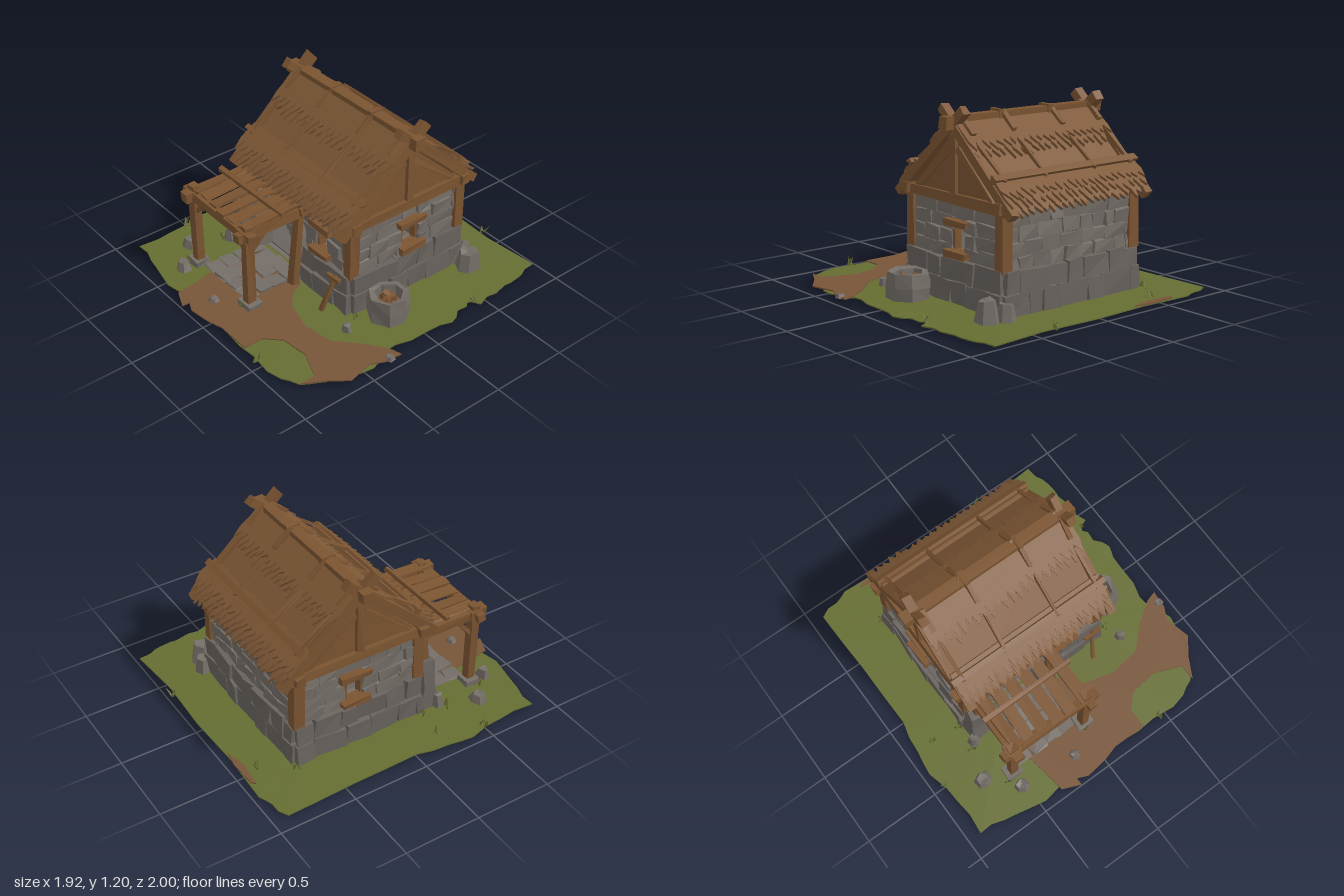
import * as THREE from 'three';
import { mergeGeometries } from 'three/addons/utils/BufferGeometryUtils.js';

const V = (x, y, z) => new THREE.Vector3(x, y, z);
const mat = (name, color) => {
  const m = new THREE.MeshStandardMaterial({ color, flatShading: true });
  m.name = name;
  return m;
};

export function createModel() {
  let seed = 11;
  const rnd = (a = 0, b = 1) => {
    seed = (seed * 16807) % 2147483647;
    return a + (b - a) * seed / 2147483647;
  };
  const stone = mat('stone', 0x746d67), darkStone = mat('dark stone', 0x69635e);
  const wood = mat('wood', 0x7b5431), thatch = mat('thatch', 0x7e5836);
  const grass = mat('grass', 0x656d32), soil = mat('soil', 0x775539);
  const model = new THREE.Group();

  const add = (name, geo, m, parent = model, x = 0, y = 0, z = 0) => {
    const mesh = new THREE.Mesh(geo, m);
    mesh.name = name;
    mesh.position.set(x, y, z);
    parent.add(mesh);
    return mesh;
  };
  const group = (name, parent = model) => {
    const g = new THREE.Group();
    g.name = name;
    parent.add(g);
    return g;
  };
  // moves coincident corners together by a random amount
  const rough = (geo, amount) => {
    const p = geo.attributes.position, moved = new Map();
    for (let i = 0; i < p.count; i++) {
      const v = V().fromBufferAttribute(p, i);
      const key = v.toArray().map(n => Math.round(n * 1e4)).join();
      if (!moved.has(key)) moved.set(key, V(rnd(-1, 1), rnd(-1, 1), rnd(-1, 1)).multiplyScalar(amount));
      v.add(moved.get(key));
      p.setXYZ(i, v.x, v.y, v.z);
    }
    return geo;
  };
  const beam = (name, a, b, w, h = w, parent = model, m = wood) => {
    const mesh = new THREE.Mesh(rough(new THREE.BoxGeometry(w, h, a.distanceTo(b)), 0.006), m);
    mesh.name = name;
    mesh.position.copy(a).add(b).multiplyScalar(0.5);
    mesh.lookAt(b);
    parent.add(mesh);
    return mesh;
  };
  const shapeOf = pts => new THREE.Shape(pts.map(p => new THREE.Vector2(p[0], p[1])));
  const extrude = (shape, depth) => new THREE.ExtrudeGeometry(shape, { depth, bevelEnabled: false, curveSegments: 4 });

  // ---- ground: ragged low mound with a flat underside
  const rim = [];
  const corners = [[-0.9, -0.9], [-0.7, -0.96], [0.82, -0.96], [0.87, -0.75], [0.89, -0.44], [0.83, -0.4], [0.9, -0.2],
    [0.86, 0.2], [0.92, 0.45], [0.86, 0.7], [0.78, 0.87], [0.55, 0.93], [0, 0.93], [-0.6, 0.93], [-0.9, 0.86], [-0.94, 0.4], [-0.91, 0]];
  corners.forEach((c, i) => {
    const d = corners[(i + 1) % corners.length];
    for (let k = 0; k < 4; k++) rim.push([c[0] + (d[0] - c[0]) * k / 4 + rnd(-0.015, 0.015), c[1] + (d[1] - c[1]) * k / 4 + rnd(-0.02, 0.02)]);
  });
  const disc = (rings, up) => {
    const pos = [], idx = [], n = rim.length;
    rings.forEach(([s, y]) => rim.forEach(([x, z]) => pos.push(x * s, y, z * s)));
    for (let r = 0; r < rings.length - 1; r++) for (let i = 0; i < n; i++) {
      const a = r * n + i, b = r * n + (i + 1) % n;
      idx.push(...(up ? [a, a + n, b, b, a + n, b + n] : [a, b, a + n, b, b + n, a + n]));
    }
    const g = new THREE.BufferGeometry();
    g.setAttribute('position', new THREE.Float32BufferAttribute(pos, 3));
    g.setIndex(idx);
    g.computeVertexNormals();
    return g;
  };
  add('grassGround', disc([[1, 0], [1, 0.007], [0.6, 0.016], [0, 0.018]], false), grass).material.side = THREE.DoubleSide;
  add('groundUnderside', disc([[1, 0], [0, 0]], true), soil).material.side = THREE.DoubleSide;
  const patch = (name, pts, y, m) => add(name, extrude(shapeOf(pts), 0.008).rotateX(Math.PI / 2), m, model, 0, y, 0);
  patch('dirtPath', [[-0.4, 0.3], [0.06, 0.3], [0.1, 0.39], [0.2, 0.48], [0.4, 0.53], [0.6, 0.5], [0.75, 0.36], [0.88, 0.27], [0.95, 0.25],
    [0.94, 0.37], [0.9, 0.45], [0.94, 0.62], [0.85, 0.74], [0.78, 0.87], [0.78, 0.76], [0.6, 0.69], [0.42, 0.71], [0.33, 0.8], [0.33, 0.93],
    [0.1, 0.93], [0, 0.96], [-0.15, 0.98], [-0.22, 0.95], [-0.22, 1], [-0.34, 0.95], [-0.36, 0.8], [-0.4, 0.6]], 0.019, soil);
  patch('backDirt', [[-0.6, -0.93], [-0.42, -0.91], [-0.28, -0.94], [-0.4, -0.96], [-0.58, -0.95]], 0.015, soil);

  // ---- stone walls: hollow panels faced with rows of rough blocks
  const house = group('house');
  house.position.set(-0.05, 0, -0.2);
  const blocks = (name, parent, u0, u1, y0, y1, rows, width, depth, z, holes, m) => {
    const parts = [], h = (y1 - y0) / rows;
    for (let r = 0; r < rows; r++) {
      const a = y0 + r * h;
      let spans = [[u0, u1]];
      for (const [l, t, b, top] of holes) {
        if (top <= a + 0.01 || b >= a + h - 0.01) continue;
        spans = spans.flatMap(([s, e]) => [[s, Math.min(e, l)], [Math.max(s, t), e]]).filter(([s, e]) => e - s > 0.02);
      }
      for (const [s, e] of spans) for (let u = s; u < e - 0.005;) {
        let w = Math.min(rnd(0.6, 1.4) * width, e - u);
        if (e - u - w < 0.04) w = e - u;
        const g = new THREE.BoxGeometry(w - 0.004, h - 0.004, depth);
        parts.push(rough(g, 0.011).translate(u + w / 2, a + h / 2, z + rnd(-0.006, 0.006)));
        u += w;
      }
    }
    add(name, mergeGeometries(parts), m, parent);
  };
  const frame = (parent, l, r, b, t) => {
    const c = (l + r) / 2, w = r - l;
    beam('windowLintel', V(c - w * 0.85, t + 0.02, 0.01), V(c + w * 0.85, t + 0.02, 0.01), 0.08, 0.045, parent);
    beam('windowSill', V(c - w * 0.8, b - 0.015, 0.015), V(c + w * 0.8, b - 0.015, 0.015), 0.09, 0.04, parent);
    for (const x of [l, r]) beam('windowJamb', V(x, b, -0.02), V(x, t, -0.02), 0.02, 0.05, parent);
  };
  const wall = (name, turn, half, dist, win, door) => {
    const g = group(name, house);
    g.rotation.y = turn;
    g.position.set(Math.sin(turn) * dist, 0, Math.cos(turn) * dist);
    const shape = shapeOf([[-half, 0.005], [half, 0.005], [half, 0.62], [-half, 0.62]]), holes = [];
    if (win) {
      const [l, r, b, t] = win;
      shape.holes.push(new THREE.Path([[l, b], [r, b], [r, t], [l, t]].map(p => new THREE.Vector2(...p))));
      holes.push(win);
      frame(g, l, r, b, t);
    }
    if (door) {
      const [l, r, , t] = door, c = (l + r) / 2, q = (r - l) / 2;
      shape.holes.push(new THREE.Path([[l, 0.02], [r, 0.02], [r, t - 0.15], [c + q * 0.6, t - 0.03], [c, t], [c - q * 0.6, t - 0.03], [l, t - 0.15]]
        .map(p => new THREE.Vector2(...p))));
      holes.push(door);
    }
    add('wallCore', extrude(shape, 0.06), stone, g, 0, 0, -0.06);
    blocks('upperStones', g, -half, half, 0.27, 0.61, 4, 0.14, 0.03, 0.003, holes, stone);
    blocks('plinthStones', g, -half - 0.03, half + 0.03, 0.0, 0.15, 1, 0.17, 0.09, 0.013, holes, darkStone);
    blocks('plinthStones', g, -half - 0.02, half + 0.02, 0.145, 0.28, 1, 0.17, 0.08, 0.008, holes, darkStone);
    return g;
  };
  const front = wall('frontWall', 0, 0.5, 0.42, [0.19, 0.3, 0.33, 0.48], [-0.37, 0.03, 0, 0.47]);
  wall('backWall', Math.PI, 0.5, 0.42);
  wall('rightSideWall', Math.PI / 2, 0.42, 0.5, [-0.03, 0.09, 0.32, 0.47]);
  wall('leftSideWall', -Math.PI / 2, 0.42, 0.5, [-0.09, 0.03, 0.32, 0.47]);
  add('stoneFloor', new THREE.BoxGeometry(0.94, 0.02, 0.78), darkStone, house, 0, 0.02, 0);

  // arched stone door surround
  for (const s of [-1, 1]) for (let i = 0; i < 3; i++)
    add('doorJambStone', rough(new THREE.BoxGeometry(0.07, 0.11, 0.13), 0.01), stone, front, -0.17 + s * 0.215, 0.06 + i * 0.11, 0.02);
  for (let i = 0; i < 7; i++) {
    const a = Math.PI * (i + 0.5) / 7;
    const v = add('archStone', rough(new THREE.BoxGeometry(0.09, 0.09, 0.11), 0.01), stone, front, -0.17 + Math.cos(a) * 0.205, 0.33 + Math.sin(a) * 0.15, 0.02);
    v.rotation.z = a;
  }
  const buttress = add('buttress', rough(new THREE.CylinderGeometry(0.05, 0.1, 0.36, 4, 2), 0.012), darkStone, model, -0.54, 0.18, 0.31);
  buttress.rotation.y = Math.PI / 4;

  // ---- timber frame and gables
  for (const x of [-0.5, 0.5]) {
    for (const z of [-0.42, 0.42]) beam('cornerPost', V(x, 0.27, z), V(x, 0.64, z), 0.07, 0.07, house);
    const gable = add('gableBoards', extrude(shapeOf([[-0.46, 0.6], [0.46, 0.6], [0, 1.03]]), 0.03), wood, house, x - 0.015, 0, 0);
    gable.rotation.y = Math.PI / 2;
    gable.position.x = x - 0.015;
    const o = x + Math.sign(x) * 0.015;
    beam('tieBeam', V(o, 0.635, -0.48), V(o, 0.635, 0.48), 0.06, 0.06, house);
    beam('kingPost', V(o, 0.64, 0), V(o, 1.02, 0), 0.045, 0.05, house);
    for (const s of [-1, 1]) {
      beam('rafter', V(x * 1.05, 0.6, s * 0.53), V(x * 1.05, 1.165, -s * 0.1), 0.055, 0.06, house);
      beam('gableBrace', V(o, 0.65, s * 0.36), V(o, 0.93, s * 0.03), 0.03, 0.035, house);
    }
  }
  for (const z of [-0.43, 0.43]) beam('wallPlate', V(-0.58, 0.645, z), V(0.57, 0.645, z), 0.06, 0.06, house);

  // ---- thatched roof: overlapping layers with ragged lower edges
  const layer = (parent, top, bottom, rag, z, thick, lift) => {
    const pts = [[0.54, -top], [-0.54, -top]], n = 44;
    for (let i = 0; i <= n; i++) pts.push([-0.55 + 1.1 * i / n + rnd(-0.008, 0.008), -bottom + (i % 2 ? 0 : rag) + rnd(-0.3, 0.3) * rag]);
    const m = add('thatchLayer', extrude(shapeOf(pts), thick), thatch, parent, 0, 0, z);
    m.geometry.translate(0, top, 0);
    m.position.y = -top;
    m.rotation.x = -lift;
  };
  for (const turn of [0, Math.PI]) {
    const side = group('roofSide', house);
    side.rotation.y = turn;
    const slope = group('roofSlope', side);
    slope.position.y = 1.075;
    slope.rotation.x = -49 * Math.PI / 180;
    layer(slope, 0, 0.66, 0.02, -0.025, 0.03, 0);
    layer(slope, 0.45, 0.71, 0.05, 0.0, 0.018, -0.02);
    layer(slope, 0.44, 0.68, 0.07, 0.015, 0.016, 0.05);
    layer(slope, 0.43, 0.62, 0.06, 0.03, 0.014, 0.1);
    layer(slope, 0.0, 0.3, 0.07, 0.0, 0.018, 0.03);
    layer(slope, 0.0, 0.25, 0.06, 0.015, 0.015, 0.08);
    beam('roofPole', V(-0.56, -0.47, 0.05), V(0.56, -0.47, 0.05), 0.035, 0.035, slope);
    for (const x of [-0.49, -0.18, 0.2, 0.5]) {
      beam('ridgeTie', V(x, 0.02, 0.045), V(x, -0.14, 0.05), 0.03, 0.022, slope);
      beam('thatchTie', V(x, -0.2, 0.035), V(x, -0.5, 0.06), 0.02, 0.02, slope);
    }
  }
  beam('ridgePole', V(-0.61, 1.085, 0), V(0.61, 1.085, 0), 0.07, 0.07, house);
  for (const x of [-0.18, 0.2]) add('ridgeBinding', rough(new THREE.BoxGeometry(0.035, 0.085, 0.09), 0.004), wood, house, x, 1.09, 0);

  // ---- porch
  const porch = group('porch');
  for (const x of [-0.52, 0.03]) {
    const s = x < 0 ? 1 : -1;
    add('postFooting', rough(new THREE.BoxGeometry(0.1, 0.05, 0.1), 0.01), stone, porch, x, 0.03, 0.67);
    beam('frontPost', V(x, 0.02, 0.67), V(x, 0.61, 0.67), 0.055, 0.055, porch);
    beam('backPost', V(x, 0.02, 0.34), V(x, 0.56, 0.28), 0.05, 0.05, porch);
    beam('sideBeam', V(x, 0.55, 0.24), V(x, 0.55, 0.75), 0.06, 0.06, porch);
    beam('sideBrace', V(x, 0.4, 0.66), V(x, 0.53, 0.54), 0.03, 0.03, porch);
    beam('frontBrace', V(x, 0.4, 0.67), V(x + s * 0.12, 0.53, 0.67), 0.03, 0.03, porch);
    add('postBinding', rough(new THREE.BoxGeometry(0.085, 0.07, 0.085), 0.006), wood, porch, x, 0.55, 0.67);
  }
  beam('frontBeam', V(-0.6, 0.55, 0.68), V(0.1, 0.55, 0.68), 0.055, 0.055, porch);
  beam('backBeam', V(-0.58, 0.56, 0.28), V(0.08, 0.56, 0.28), 0.05, 0.05, porch);
  for (let i = 0; i < 6; i++) {
    const x = -0.49 + i * 0.1;
    beam('roofPlank', V(x, 0.605, 0.26), V(x + rnd(-0.02, 0.02), 0.585, 0.69 + rnd(-0.02, 0.02)), 0.075, 0.018, porch);
  }
  beam('plankBatten', V(-0.56, 0.615, 0.44), V(0.08, 0.615, 0.44), 0.03, 0.025, porch);
  for (let i = 0; i < 4; i++) for (let j = 0; j < 4; j++)
    add('flagstone', rough(new THREE.BoxGeometry(0.11, 0.016, 0.1), 0.01), stone, porch, -0.41 + i * 0.115, 0.022, 0.3 + j * 0.105);

  // ---- stone fire pit with logs
  const pit = group('firePit');
  pit.position.set(0.615, 0, 0.065);
  const ring = [[0.085, 0.06], [0.09, 0.165], [0.125, 0.172], [0.135, 0.09], [0.135, 0.005]].reverse().map(p => new THREE.Vector2(...p));
  add('pitRing', rough(new THREE.LatheGeometry(ring, 7), 0.008), stone, pit).material.side = THREE.DoubleSide;
  add('pitBed', new THREE.CylinderGeometry(0.088, 0.088, 0.09, 7), soil, pit, 0, 0.05, 0);
  for (let i = 0; i < 6; i++) {
    const a = i * 1.9;
    beam('log', V(Math.cos(a) * 0.07, 0.11, Math.sin(a) * 0.07), V(-Math.cos(a + 0.6) * 0.05, 0.14, -Math.sin(a + 0.6) * 0.05), 0.028, 0.028, pit);
  }

  // ---- tool leaning on the front wall
  beam('toolHandle', V(0.35, 0.02, 0.37), V(0.38, 0.27, 0.29), 0.022);
  beam('toolHead', V(0.32, 0.25, 0.3), V(0.44, 0.26, 0.3), 0.025);

  // ---- rocks and grass tufts
  for (const [x, z, r, h] of [[0.58, -0.63, 0.085, 0.13], [-0.7, 0.61, 0.06, 0.06], [-0.53, 0.78, 0.05, 0.06], [0.58, 0.36, 0.04, 0.05],
    [-0.14, 0.82, 0.04, 0.03], [0.93, 0.32, 0.035, 0.02], [-0.6, 0.37, 0.045, 0.09], [0.49, -0.68, 0.06, 0.1]])
    add('rock', rough(new THREE.CylinderGeometry(r * 0.65, r, h, 6), r * 0.15), stone, model, x, h / 2 + 0.01, z);
  for (const [x, z] of [[-0.92, 0.5], [-0.63, 0.24], [0.38, -0.97], [-0.48, -0.86], [0.54, 0.25], [0.52, -0.7], [-0.62, -0.66], [0.84, -0.42],
    [0.03, 0.73], [-0.82, 0.2], [0.45, 0.93], [-0.64, 0.4], [-0.58, 0.7]])
    for (let i = 0; i < 4; i++) {
      const blade = add('grassBlade', new THREE.ConeGeometry(0.009, rnd(0.04, 0.075), 3), grass, model, x + rnd(-0.02, 0.02), 0.035, z + rnd(-0.02, 0.02));
      blade.rotation.set(rnd(-0.5, 0.5), 0, rnd(-0.5, 0.5));
    }
  return model;
}
